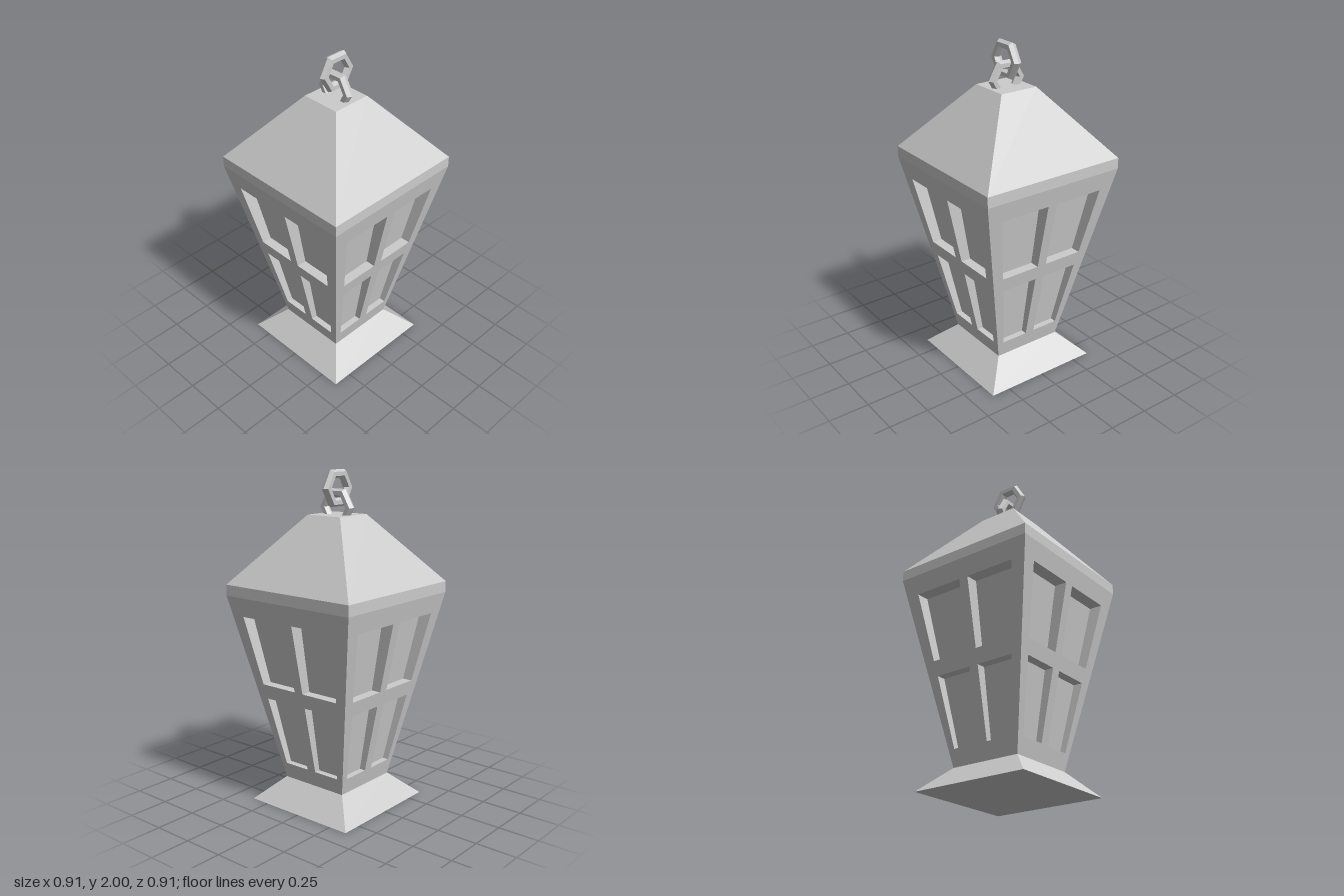
import * as THREE from 'three';

const grey = new THREE.MeshStandardMaterial({ color: 0xcccccc, flatShading: true });
const Y0 = 0.14, Y1 = 1.28;

// half width of the tapering body, and depth of the window recess, at a height
const half = (y) => 0.22 + (0.237 * (y - Y0)) / (Y1 - Y0);
const recess = (y) => 0.034 + 0.043 * (y - Y0);

function add(group, name, geometry) {
  const mesh = new THREE.Mesh(geometry, grey);
  mesh.name = name;
  group.add(mesh);
  return mesh;
}

// square block with different half widths at bottom and top
function frustum(y0, h0, y1, h1) {
  const g = new THREE.CylinderGeometry(h1 * Math.SQRT2, h0 * Math.SQRT2, y1 - y0, 4);
  return g.rotateY(Math.PI / 4).translate(0, (y0 + y1) / 2, 0);
}

const points = (list) => list.map(([x, y]) => new THREE.Vector2(x, y));

// one sloping wall with four window openings, mitred at the corners
function wallGeometry() {
  const shape = new THREE.Shape(points([
    [-half(Y0), Y0], [half(Y0), Y0], [half(Y1), Y1], [-half(Y1), Y1],
  ]));
  const windows = [
    { y0: 0.24, x0: 0.2, y1: 0.66, x1: 0.263 },
    { y0: 0.75, x0: 0.28, y1: 1.165, x1: 0.346 },
  ];
  for (const w of windows) {
    for (const s of [-1, 1]) {
      shape.holes.push(new THREE.Path(points([
        [s * 0.03, w.y0], [s * w.x0, w.y0], [s * w.x1, w.y1], [s * 0.03, w.y1],
      ])));
    }
  }
  const g = new THREE.ExtrudeGeometry(shape, { depth: 1, bevelEnabled: false });
  const p = g.attributes.position;
  for (let i = 0; i < p.count; i++) {
    const x = p.getX(i), y = p.getY(i);
    const z = half(y) - (1 - p.getZ(i)) * recess(y);
    const onOutline = Math.abs(x) > half(y) - 0.001;
    p.setXYZ(i, onOutline ? Math.sign(x) * z : x, y, z);
  }
  g.computeVertexNormals();
  return g;
}

export function createModel() {
  const lantern = new THREE.Group();
  lantern.name = 'lantern';

  // flared foot, eaves band and roof
  add(lantern, 'base', frustum(0, 0.367, Y0, 0.22));
  add(lantern, 'eaves', frustum(Y1, 0.457, 1.345, 0.457));
  add(lantern, 'roof', frustum(1.345, 0.457, 1.745, 0.12));

  // recessed panes, seen through the openings in the four walls
  add(lantern, 'panes', frustum(Y0, half(Y0) - recess(Y0), Y1, half(Y1) - recess(Y1)));
  const wall = wallGeometry();
  for (let i = 0; i < 4; i++) {
    add(lantern, 'windowWall', wall).rotation.y = (i * Math.PI) / 2;
  }

  // two interlocked hexagonal chain links
  const link = new THREE.TorusGeometry(0.093, 0.028, 6, 6);
  add(lantern, 'lowerLink', link).position.y = 1.787;
  const upper = add(lantern, 'upperLink', link);
  upper.position.y = 1.895;
  upper.rotation.y = Math.PI / 2;

  return lantern;
}
